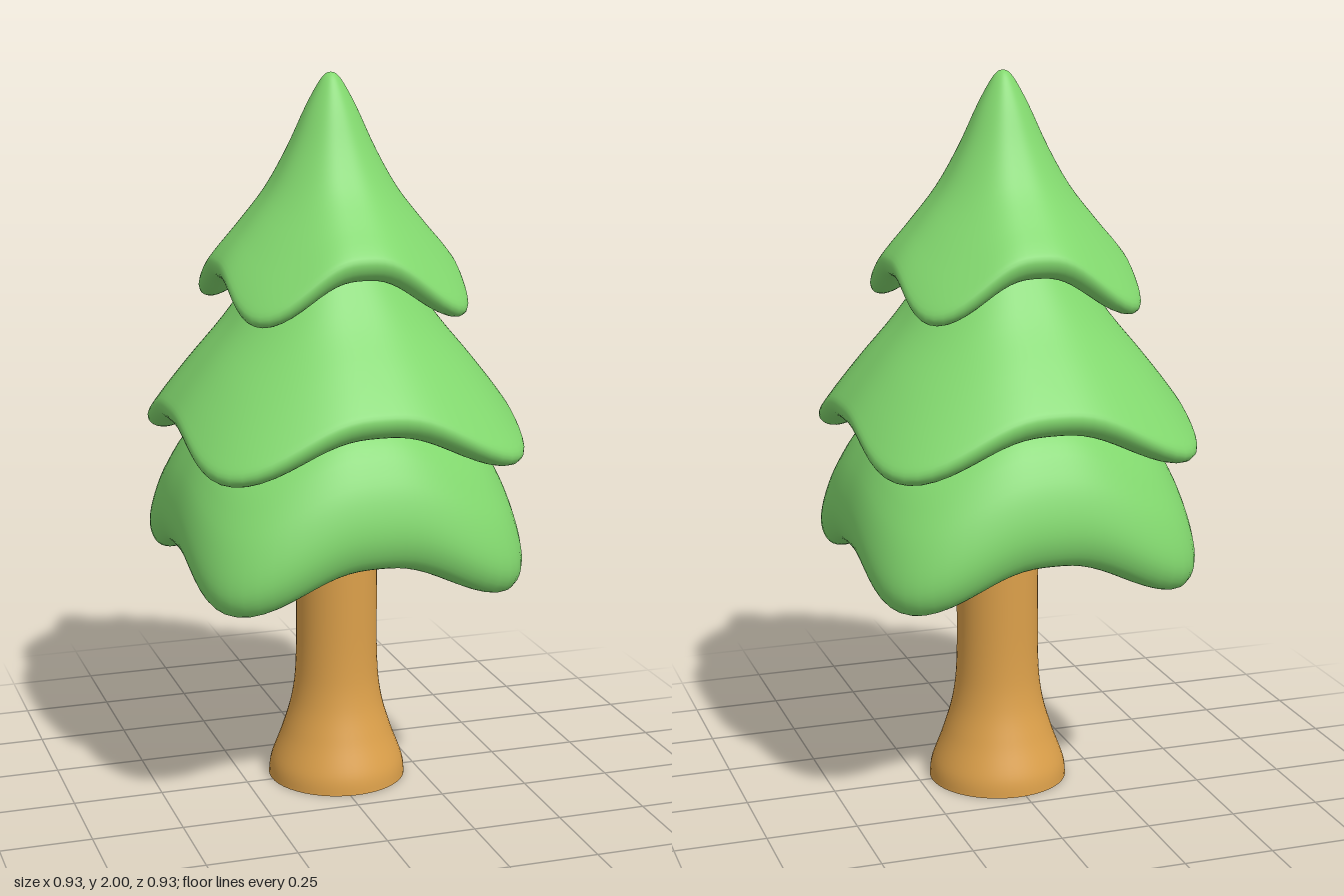
import * as THREE from 'three';
import { mergeVertices } from 'three/addons/utils/BufferGeometryUtils.js';

const leaf = new THREE.MeshStandardMaterial({ color: 0x82d86e });
const bark = new THREE.MeshStandardMaterial({ color: 0xdca04a, side: THREE.DoubleSide });

// Smooth lathe from a few [radius, height] points
function smoothLathe(profile, steps, segments) {
  const curve = new THREE.SplineCurve(profile.map(([r, y]) => new THREE.Vector2(r, y)));
  const points = curve.getPoints(steps);
  points.forEach((p) => { p.x = Math.max(p.x, 0); });
  return new THREE.LatheGeometry(points, segments);
}

// One tier of foliage: a lathe squared off towards its rim, with drooping corners
function tier(name, width, droop, profile) {
  let geometry = smoothLathe(profile, 48, 96);
  const pos = geometry.attributes.position;
  for (let i = 0; i < pos.count; i++) {
    const x = pos.getX(i), z = pos.getZ(i);
    const r = Math.hypot(x, z);
    if (r < 1e-6) continue;
    const t = Math.min(r / width, 1);
    const c = Math.abs(x / r), s = Math.abs(z / r);
    const n = 2 + 2.6 * Math.pow(t, 1.5);
    const square = Math.pow(Math.pow(c, n) + Math.pow(s, n), -1 / n);
    const corner = Math.pow(2 * c * s, 3);
    const lift = 0.018 * (s * s - c * c); // front and back arch a little higher
    pos.setXYZ(i, x * square, pos.getY(i) + t * t * (lift - droop * corner), z * square);
  }
  geometry.deleteAttribute('uv');
  geometry.deleteAttribute('normal');
  geometry = mergeVertices(geometry, 1e-5);
  geometry.computeVertexNormals();
  const mesh = new THREE.Mesh(geometry, leaf);
  mesh.name = name;
  return mesh;
}

export function createModel() {
  const tree = new THREE.Group();
  tree.name = 'tree';

  // Trunk with a flared, open foot
  const trunk = new THREE.Mesh(smoothLathe([
    [0.195, 0], [0.188, 0.05], [0.155, 0.14], [0.127, 0.24], [0.116, 0.36], [0.115, 0.6], [0.115, 0.95],
  ], 40, 48), bark);
  trunk.name = 'trunk';
  trunk.position.set(0.02, 0, -0.01);
  tree.add(trunk);

  // Each profile runs from under the tier, round its lip and up to the tip
  tree.add(tier('lowerFoliage', 0.465, 0.12, [
    [0, 0.88], [0.15, 0.87], [0.28, 0.81], [0.35, 0.74], [0.4, 0.718], [0.444, 0.738],
    [0.465, 0.8], [0.455, 0.88], [0.42, 0.97], [0.35, 1.07], [0.2, 1.18], [0, 1.25],
  ]));
  tree.add(tier('middleFoliage', 0.465, 0.115, [
    [0, 1.2], [0.15, 1.19], [0.29, 1.14], [0.37, 1.088], [0.415, 1.074], [0.452, 1.09],
    [0.465, 1.125], [0.44, 1.165], [0.37, 1.25], [0.28, 1.355], [0.2, 1.47], [0.1, 1.62], [0, 1.7],
  ]));
  tree.add(tier('upperFoliage', 0.328, 0.12, [
    [0, 1.58], [0.1, 1.57], [0.2, 1.52], [0.255, 1.477], [0.29, 1.467], [0.318, 1.482],
    [0.328, 1.515], [0.305, 1.55], [0.245, 1.615], [0.175, 1.7], [0.118, 1.8],
    [0.07, 1.905], [0.035, 1.97], [0.015, 1.995], [0, 2],
  ]));
  return tree;
}
